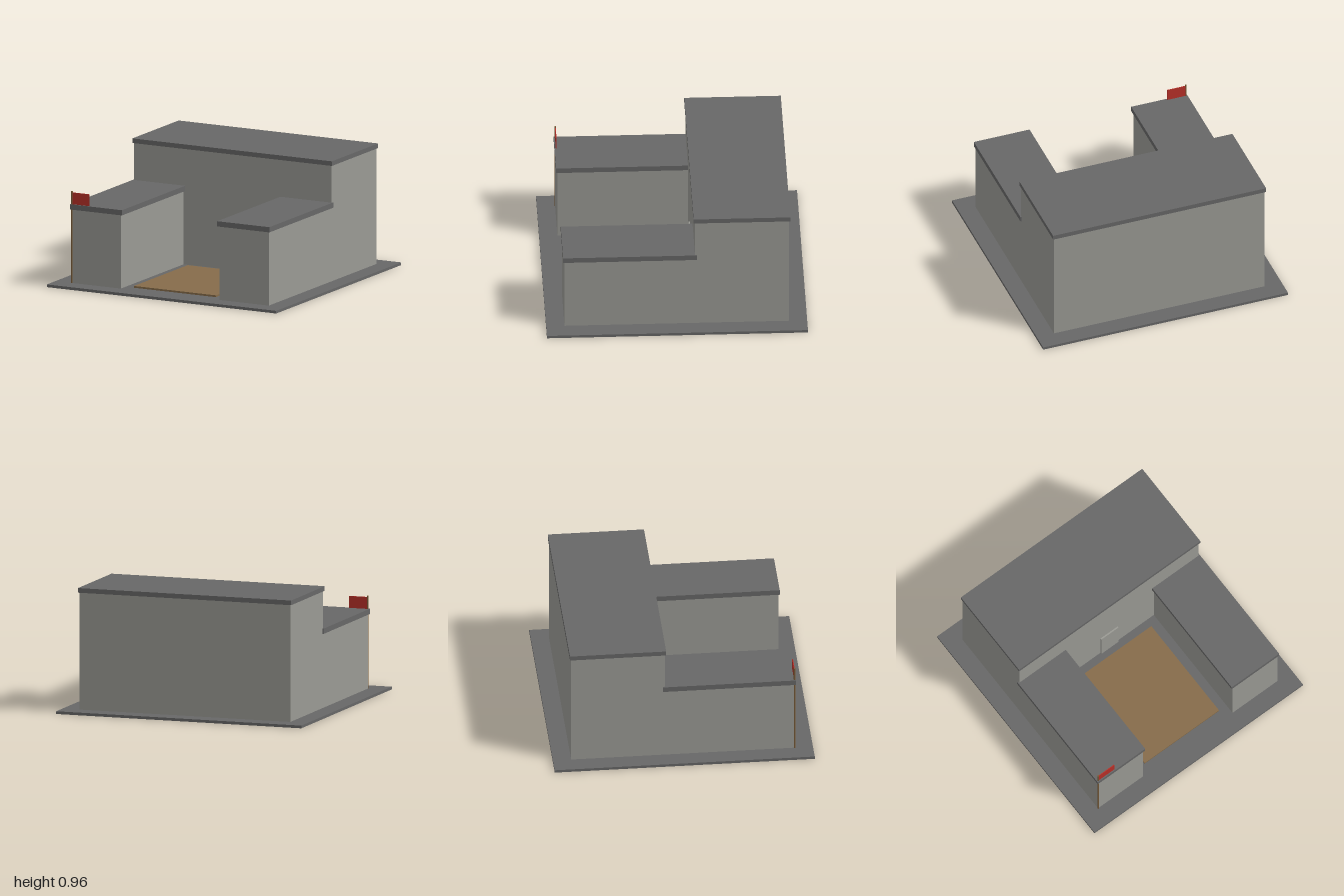
import * as THREE from 'three';

const paint = (name, color) => {
  const m = new THREE.MeshStandardMaterial({ color });
  m.name = name;
  return m;
};

export function createModel() {
  const group = new THREE.Group();
  group.name = 'courtyardBuilding';
  const wall = paint('wallGrey', 0x9a9a94);
  const slate = paint('slateGrey', 0x676767);
  const earth = paint('courtyardBrown', 0x866c4a);
  const wood = paint('poleBrown', 0x7a5c38);
  const red = paint('flagRed', 0xb83028);

  // Box given by its lower and upper corners
  const block = (name, mat, [x0, y0, z0], [x1, y1, z1]) => {
    const mesh = new THREE.Mesh(new THREE.BoxGeometry(x1 - x0, y1 - y0, z1 - z0), mat);
    mesh.position.set((x0 + x1) / 2, (y0 + y1) / 2, (z0 + z1) / 2);
    mesh.name = name;
    group.add(mesh);
  };

  // Ground slab and raised courtyard floor
  block('groundSlab', slate, [-1, 0, -1], [1, 0.021, 1]);
  block('courtyardFloor', earth, [-0.357, 0.021, -0.075], [0.357, 0.035, 0.785]);

  // Tall rear hall with roof and door
  block('mainHall', wall, [-0.86, 0.021, -0.86], [0.86, 0.93, -0.14]);
  block('mainRoof', slate, [-0.87, 0.928, -0.87], [0.87, 0.964, -0.13]);
  block('door', wall, [-0.083, 0.021, -0.14], [0.083, 0.34, -0.128]);

  // Two lower wings, mirrored across the courtyard
  for (const [side, s] of [['left', 1], ['right', -1]]) {
    const span = (a, b) => (s > 0 ? [a, b] : [-b, -a]);
    const [w0, w1] = span(0.43, 0.86);
    const [r0, r1] = span(0.415, 0.87);
    block(side + 'Wing', wall, [w0, 0.021, -0.14], [w1, 0.6, 0.86]);
    block(side + 'WingRoof', slate, [r0, 0.597, -0.155], [r1, 0.638, 0.87]);
  }

  // Flagpole at the front corner of the right wing
  const pole = new THREE.Mesh(new THREE.CylinderGeometry(0.007, 0.007, 0.719, 8), wood);
  pole.position.set(-0.857, 0.3805, 0.859);
  pole.name = 'flagPole';
  group.add(pole);
  block('flag', red, [-0.852, 0.63, 0.855], [-0.705, 0.73, 0.861]);

  return group;
}
